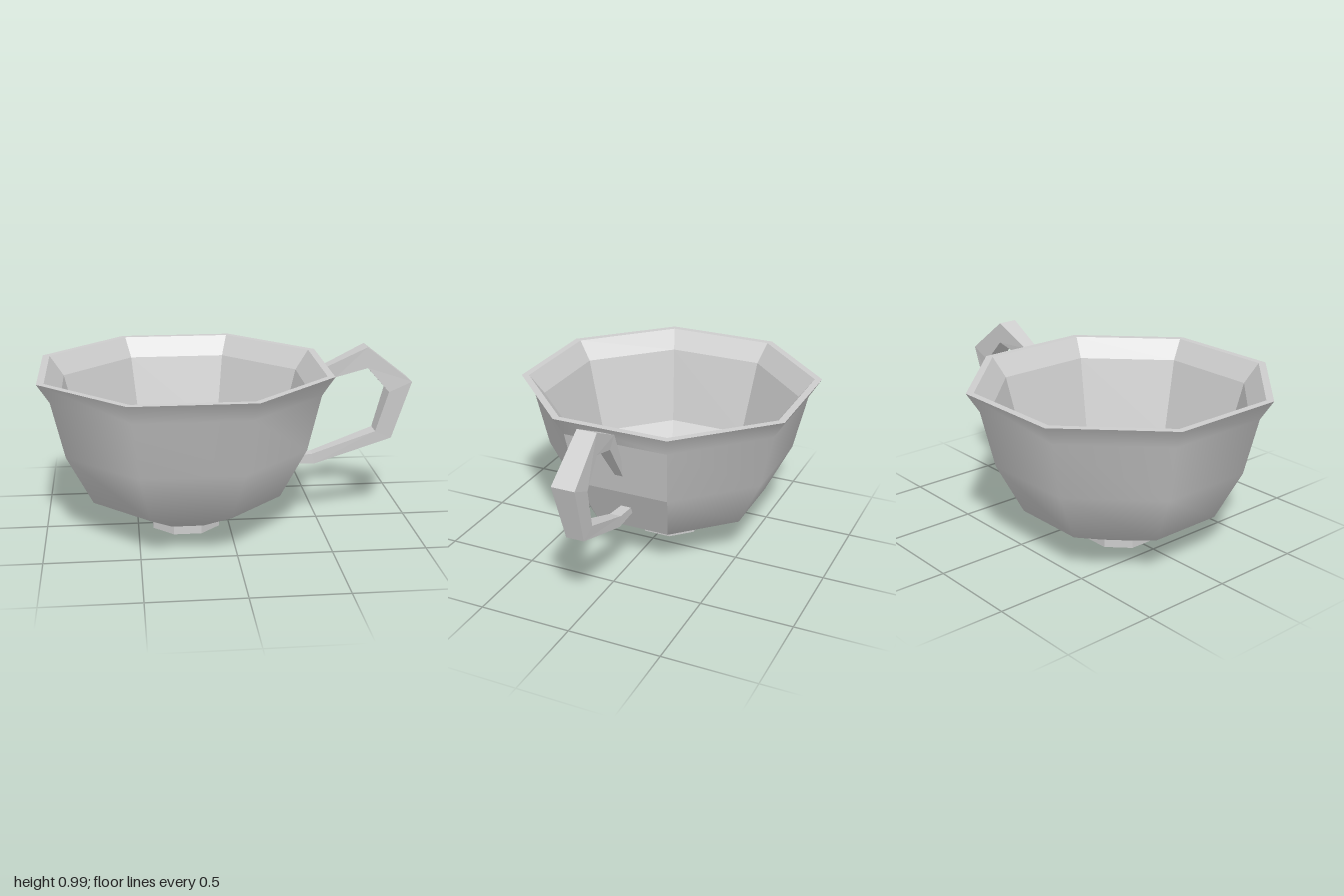
import * as THREE from 'three';

const CENTRE_X = -0.2375;
const SIDES = 8;

const china = new THREE.MeshStandardMaterial({ color: 0xcccccc });
china.name = 'light grey china';

function makeMesh(name, points, index, smooth) {
  let geometry = new THREE.BufferGeometry();
  geometry.setAttribute('position', new THREE.Float32BufferAttribute(points, 3));
  geometry.setIndex(index);
  if (!smooth) geometry = geometry.toNonIndexed();
  geometry.computeVertexNormals();
  const mesh = new THREE.Mesh(geometry, china);
  mesh.name = name;
  return mesh;
}

// Octagonal loft through [apothem, y] rows; keep(row, side) chooses the panels
function octagonLoft(name, profile, smooth = false, keep = () => true) {
  const points = [], index = [];
  for (const [apothem, y] of profile) {
    const radius = apothem / Math.cos(Math.PI / SIDES);
    for (let k = 0; k < SIDES; k++) {
      const angle = (k - 0.5) * 2 * Math.PI / SIDES;
      points.push(CENTRE_X + radius * Math.cos(angle), y, radius * Math.sin(angle));
    }
  }
  for (let row = 0; row < profile.length - 1; row++) {
    for (let k = 0; k < SIDES; k++) {
      if (!keep(row, k)) continue;
      const a = row * SIDES + k, b = row * SIDES + (k + 1) % SIDES;
      const c = b + SIDES, d = a + SIDES;
      if (profile[row + 1][0] > 0) index.push(a, d, c);
      if (profile[row][0] > 0) index.push(a, c, b);
    }
  }
  return makeMesh(name, points, index, smooth);
}

// Faceted handle: each station is [outer x, outer y, inner x, inner y, half width]
function handle() {
  const stations = [
    [0.40, 0.62, 0.41, 0.58, 0.022],
    [0.535, 0.88, 0.585, 0.82, 0.037],
    [0.75, 0.985, 0.755, 0.87, 0.054],
    [1.0, 0.79, 0.875, 0.735, 0.063],
    [0.90, 0.47, 0.81, 0.51, 0.048],
    [0.48, 0.328, 0.465, 0.385, 0.031],
    [0.30, 0.335, 0.31, 0.37, 0.028],
  ];
  const points = [], index = [];
  for (const [ox, oy, ix, iy, w] of stations) {
    points.push(ox, oy, w, ox, oy, -w, ix, iy, -w, ix, iy, w);
  }
  for (let s = 0; s < stations.length - 1; s++) {
    for (let j = 0; j < 4; j++) {
      const a = s * 4 + j, b = s * 4 + (j + 1) % 4;
      index.push(a, a + 4, b + 4, a, b + 4, b);
    }
  }
  const e = (stations.length - 1) * 4;
  index.push(0, 1, 2, 0, 2, 3, e, e + 2, e + 1, e, e + 3, e + 2);
  return makeMesh('handle', points, index, false);
}

export function createModel() {
  const cup = new THREE.Group();
  cup.name = 'teacup';

  // Smooth outer wall, with two flat panels left for the handle side
  const outer = [[0.205, 0.055], [0.5, 0.21], [0.633, 0.485], [0.70, 0.79], [0.7625, 0.895]];
  const isPanel = (row, side) => side === 0 && (row === 1 || row === 2);
  cup.add(octagonLoft('outerWall', outer, true, (r, s) => !isPanel(r, s)));
  cup.add(octagonLoft('handlePanel', outer, false, isPanel));

  // Flat rim, faceted inside and floor
  cup.add(octagonLoft('rim', [[0.7625, 0.895], [0.725, 0.895]]));
  cup.add(octagonLoft('innerWall', [[0.725, 0.895], [0.65, 0.79], [0.545, 0.37], [0.25, 0.17]]));
  cup.add(octagonLoft('floor', [[0.25, 0.17], [0, 0.17]]));

  // Underside and ring foot
  cup.add(octagonLoft('underside', [[0, 0.055], [0.205, 0.055]]));
  cup.add(octagonLoft('foot', [[0.15, 0.055], [0.15, 0], [0.182, 0], [0.182, 0.055]]));

  cup.add(handle());
  return cup;
}
